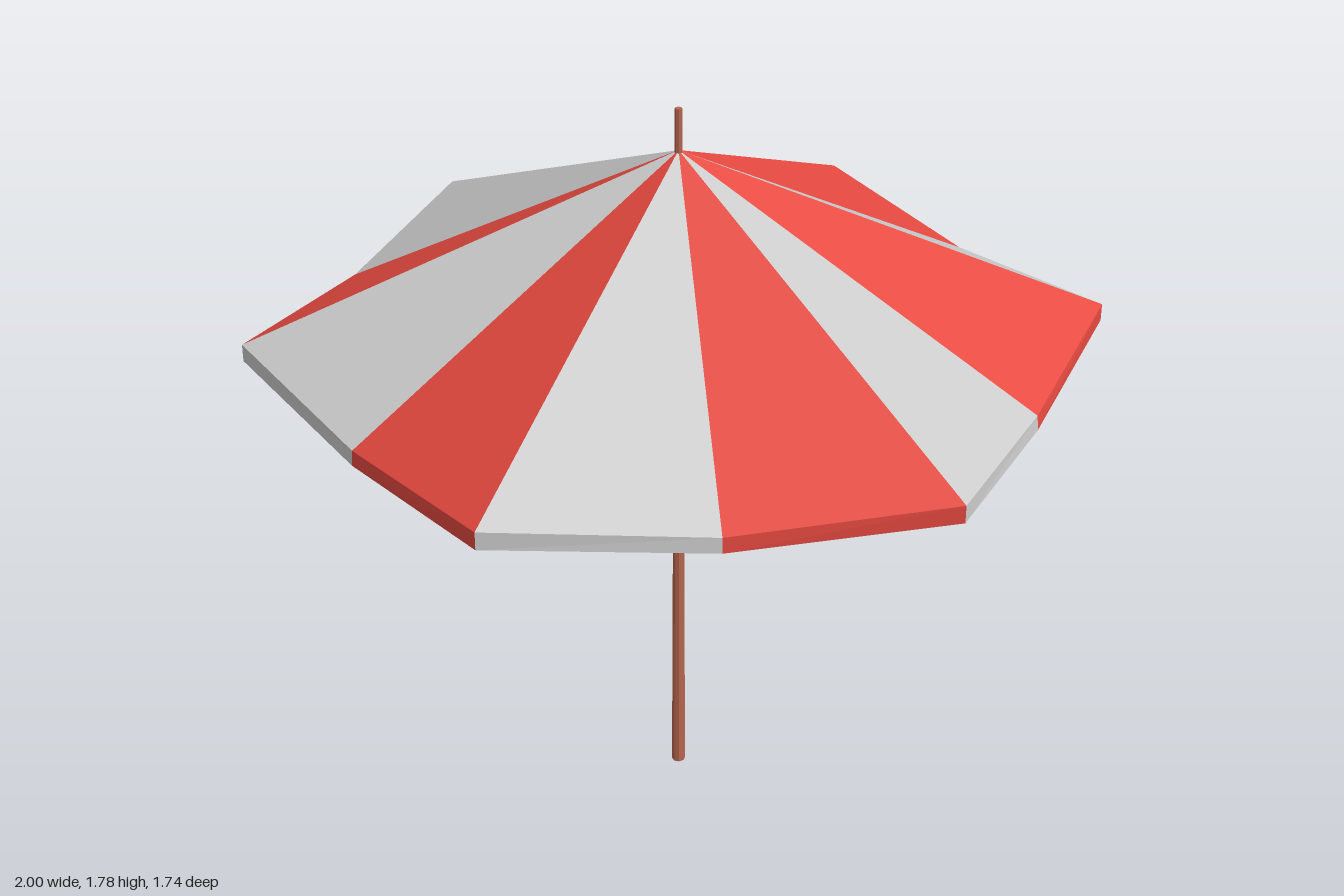
import * as THREE from 'three';

const APEX_Y = 1.68;
const INNER_APEX_Y = 1.595;

const wood = new THREE.MeshStandardMaterial({ color: 0xb8674f, flatShading: true });
const red = new THREE.MeshStandardMaterial({ color: 0xe74a41, flatShading: true });
const grey = new THREE.MeshStandardMaterial({ color: 0xcccccc, flatShading: true });

// Rim points alternate between the hexagon's corners and its sagging edge middles
function rimPoint(k) {
  const corner = k % 2 === 0;
  const a = (k * Math.PI) / 6;
  const ring = (r, y) => [r * Math.cos(a), y, r * Math.sin(a)];
  return corner
    ? { top: ring(1, 1.245), bottom: ring(1, 1.203) }
    : { top: ring(0.866, 1.2), bottom: ring(0.869, 1.164) };
}

// One thick canopy wedge: sloping top, rim strip and sloping underside
function panel(k) {
  const p = rimPoint(k), q = rimPoint(k + 1);
  const corners = [
    [0, APEX_Y, 0], q.top, p.top,
    p.top, q.top, q.bottom,
    p.top, q.bottom, p.bottom,
    [0, INNER_APEX_Y, 0], p.bottom, q.bottom,
  ];
  const geometry = new THREE.BufferGeometry();
  geometry.setAttribute('position', new THREE.Float32BufferAttribute(corners.flat(), 3));
  geometry.computeVertexNormals();
  const mesh = new THREE.Mesh(geometry, k % 2 === 0 ? red : grey);
  mesh.name = k % 2 === 0 ? 'redPanel' : 'greyPanel';
  return mesh;
}

// Eight-sided rod between two points
function rod(from, to, r0, r1, name) {
  const dir = to.clone().sub(from);
  const mesh = new THREE.Mesh(new THREE.CylinderGeometry(r1, r0, dir.length(), 8), wood);
  mesh.position.copy(from).addScaledVector(dir, 0.5);
  mesh.quaternion.setFromUnitVectors(new THREE.Vector3(0, 1, 0), dir.normalize());
  mesh.name = name;
  return mesh;
}

export function createModel() {
  const model = new THREE.Group();
  model.name = 'parasol';

  // Canopy of twelve alternating wedges
  const canopy = new THREE.Group();
  canopy.name = 'canopy';
  for (let k = 0; k < 12; k++) canopy.add(panel(k));
  model.add(canopy);

  // Tapered pole, poking out above the canopy
  model.add(rod(new THREE.Vector3(0, 0, 0), new THREE.Vector3(0, 1.78, 0), 0.0168, 0.0088, 'pole'));

  // Struts rising from the pole to the middle of each canopy side
  const struts = new THREE.Group();
  struts.name = 'struts';
  for (let i = 0; i < 6; i++) {
    const a = Math.PI / 6 + (i * Math.PI) / 3;
    const end = new THREE.Vector3(0.55 * Math.cos(a), 1.345, 0.55 * Math.sin(a));
    struts.add(rod(new THREE.Vector3(0, 1.172, 0), end, 0.0155, 0.0155, 'strut'));
  }
  model.add(struts);

  return model;
}
